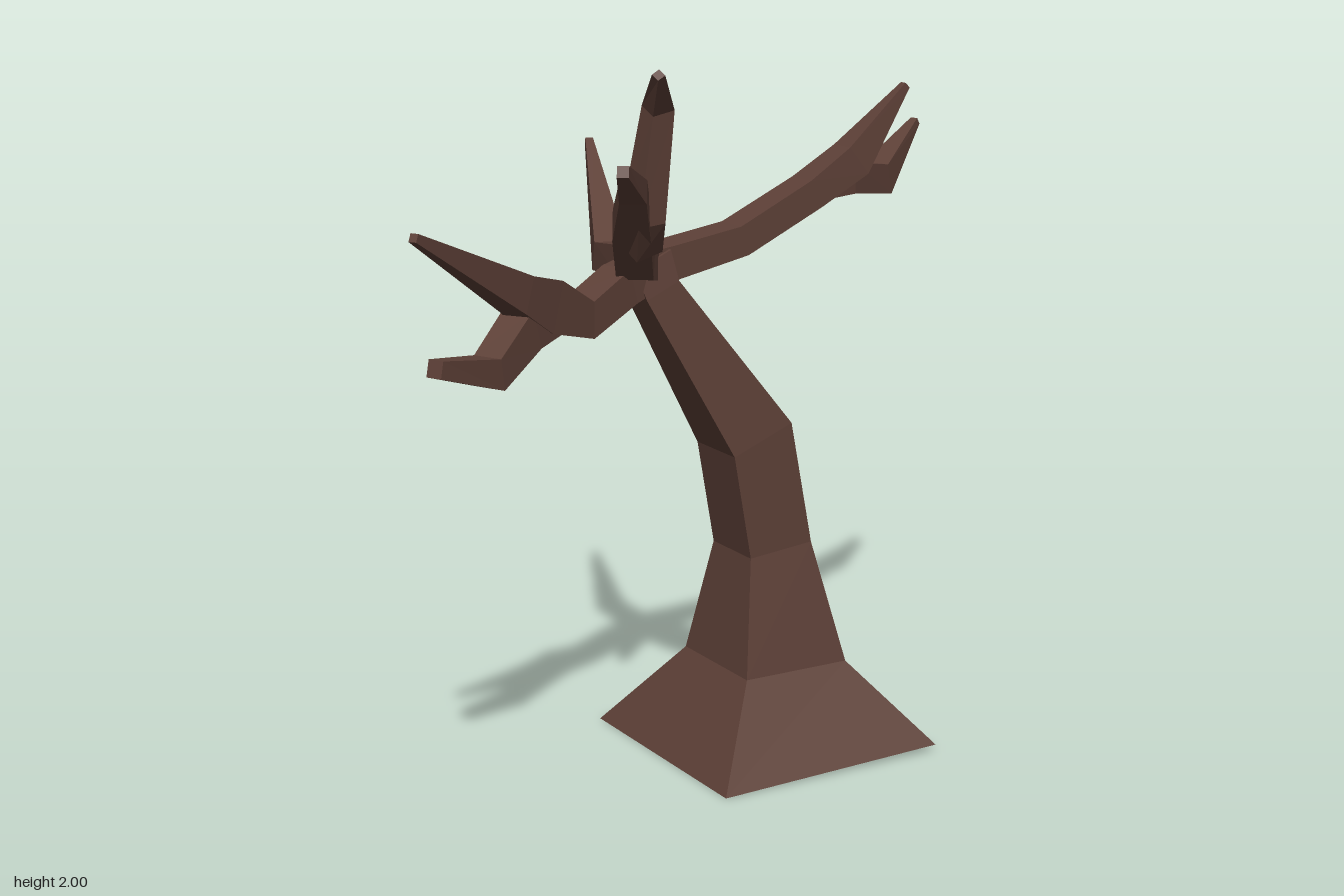
import * as THREE from 'three';

const bark = new THREE.MeshStandardMaterial({ color: 0x5d4037 });
bark.name = 'brown bark';

// Skin a list of four-cornered rings, with a cap at each end
function loft(name, rings) {
  const pos = [];
  const quad = (a, b, c, d) => [a, b, c, a, c, d].forEach((p) => pos.push(p.x, p.y, p.z));
  for (let k = 0; k < rings.length - 1; k++) {
    for (let i = 0; i < 4; i++) {
      const j = (i + 1) % 4;
      quad(rings[k][i], rings[k][j], rings[k + 1][j], rings[k + 1][i]);
    }
  }
  const first = rings[0], last = rings[rings.length - 1];
  quad(first[3], first[2], first[1], first[0]);
  quad(last[0], last[1], last[2], last[3]);
  const geo = new THREE.BufferGeometry();
  geo.setAttribute('position', new THREE.Float32BufferAttribute(pos, 3));
  geo.computeVertexNormals();
  const mesh = new THREE.Mesh(geo, bark);
  mesh.name = name;
  return mesh;
}

// Square-section limb through points [x, y, z, width, height]
function limb(name, pts, ref = new THREE.Vector3(0, 1, 0)) {
  const centres = pts.map((p) => new THREE.Vector3(p[0], p[1], p[2]));
  const dir = (a, b) => centres[b].clone().sub(centres[a]).normalize();
  const end = pts.length - 1;
  const rings = pts.map((p, i) => {
    const t = new THREE.Vector3();
    if (i > 0) t.add(dir(i - 1, i));
    if (i < end) t.add(dir(i, i + 1));
    t.normalize();
    const s = t.clone().cross(ref).normalize();
    const n = t.clone().cross(s);
    return [[-1, -1], [1, -1], [1, 1], [-1, 1]].map(([u, v]) =>
      centres[i].clone().addScaledVector(s, u * p[3] / 2).addScaledVector(n, v * p[4] / 2));
  });
  return loft(name, rings);
}

export function createModel() {
  const tree = new THREE.Group();
  tree.name = 'bareTree';

  // Trunk rings: left x, left y, right x, right y, back z, front z
  const trunk = [
    [-0.02, 0.0, 0.68, 0.02, -0.32, 0.39],
    [0.16, 0.25, 0.49, 0.25, -0.13, 0.205],
    [0.21, 0.58, 0.41, 0.6, -0.06, 0.14],
    [0.155, 0.88, 0.34, 0.955, -0.06, 0.14],
    [-0.1, 1.34, 0.0, 1.385, -0.02, 0.1],
    [-0.13, 1.42, -0.02, 1.47, -0.03, 0.09],
  ].map(([xl, yl, xr, yr, zb, zf]) => [
    new THREE.Vector3(xl, yl, zb), new THREE.Vector3(xl, yl, zf),
    new THREE.Vector3(xr, yr, zf), new THREE.Vector3(xr, yr, zb),
  ]);
  tree.add(loft('trunk', trunk));

  // Long branch towards +x and its fork
  tree.add(limb('leftBranch', [
    [-0.1, 1.42, 0.03, 0.1, 0.09], [0.0, 1.43, 0.03, 0.1, 0.095],
    [0.22, 1.47, 0.03, 0.1, 0.085], [0.455, 1.58, 0.03, 0.095, 0.085],
    [0.6, 1.66, 0.03, 0.08, 0.1], [0.775, 1.857, 0.035, 0.022, 0.02],
  ]));
  tree.add(limb('leftBranchFork', [
    [0.48, 1.59, 0.02, 0.07, 0.07], [0.61, 1.6, -0.02, 0.08, 0.085],
    [0.785, 1.573, -0.105, 0.08, 0.09], [0.963, 1.717, -0.177, 0.022, 0.022],
  ]));

  // Long branch towards -x and its fork
  tree.add(limb('rightBranch', [
    [-0.06, 1.41, 0.03, 0.1, 0.09], [-0.16, 1.385, 0.06, 0.1, 0.1],
    [-0.315, 1.32, 0.12, 0.095, 0.1], [-0.47, 1.385, 0.2, 0.1, 0.14],
    [-0.58, 1.44, 0.275, 0.08, 0.1], [-0.97, 1.657, 0.507, 0.022, 0.022],
  ]));
  tree.add(limb('rightBranchFork', [
    [-0.42, 1.36, 0.18, 0.08, 0.09], [-0.55, 1.345, 0.25, 0.09, 0.11],
    [-0.68, 1.255, 0.315, 0.085, 0.085], [-0.878, 1.308, 0.415, 0.045, 0.045],
  ]));

  // Branch towards the back
  tree.add(limb('backBranch', [
    [-0.07, 1.42, 0.06, 0.09, 0.09], [-0.065, 1.425, -0.04, 0.09, 0.09],
    [-0.05, 1.41, -0.2, 0.09, 0.085], [0.083, 1.675, -0.556, 0.022, 0.022],
  ]));

  // Branch towards the front and its upright fork
  tree.add(limb('frontBranch', [
    [-0.05, 1.42, 0.0, 0.1, 0.09], [-0.14, 1.45, 0.11, 0.1, 0.095],
    [-0.22, 1.575, 0.23, 0.1, 0.095], [-0.295, 1.69, 0.37, 0.07, 0.065],
    [-0.427, 1.777, 0.553, 0.03, 0.03],
  ]));
  tree.add(limb('frontBranchFork', [
    [-0.18, 1.51, 0.21, 0.08, 0.08], [-0.205, 1.6, 0.265, 0.08, 0.09],
    [-0.19, 1.89, 0.315, 0.065, 0.055], [-0.245, 1.987, 0.412, 0.024, 0.024],
  ], new THREE.Vector3(0, 0, 1)));

  return tree;
}
